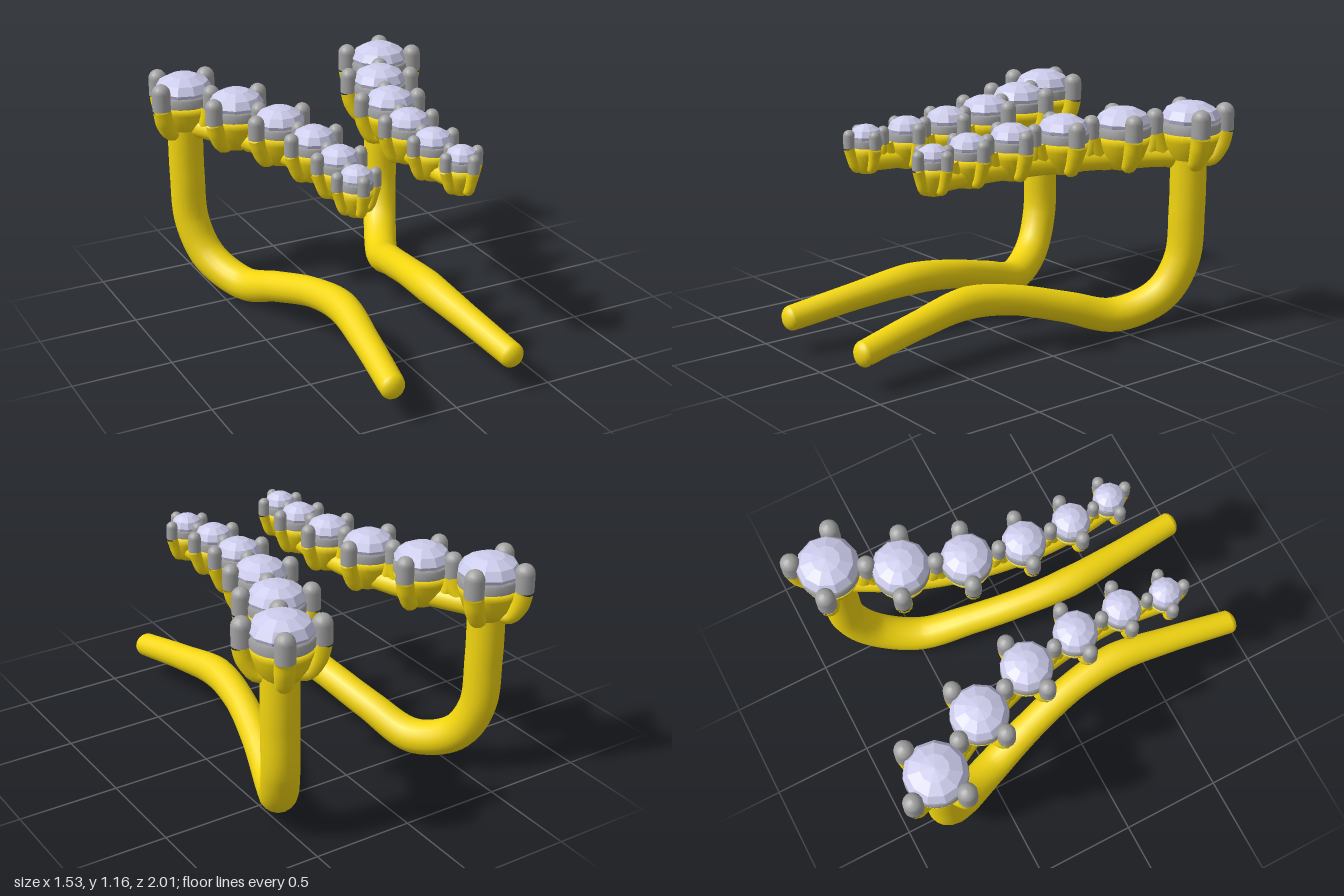
import * as THREE from 'three';

const gold = new THREE.MeshStandardMaterial({ color: 0xf2d50f });
const metal = new THREE.MeshStandardMaterial({ color: 0xa2a2a2 });
const stone = new THREE.MeshStandardMaterial({ color: 0xccccec, flatShading: true });

// Gems from the large rear one to the small front one: x, z, radius, prong radius
const GEMS = [
  [0.565, -0.81, 0.15, 0.047],
  [0.405, -0.51, 0.138, 0.043],
  [0.305, -0.215, 0.124, 0.04],
  [0.257, 0.065, 0.106, 0.035],
  [0.25, 0.315, 0.093, 0.032],
  [0.275, 0.535, 0.078, 0.028],
];
const BASE = 0.845;

// Wire path: x, y, z, radius
const WIRE = [
  [0.57, 0.9, -0.8, 0.09],
  [0.57, 0.62, -0.8, 0.09],
  [0.56, 0.36, -0.785, 0.09],
  [0.51, 0.18, -0.69, 0.09],
  [0.41, 0.092, -0.48, 0.087],
  [0.33, 0.165, -0.22, 0.078],
  [0.265, 0.24, 0.06, 0.075],
  [0.24, 0.27, 0.32, 0.08],
  [0.27, 0.235, 0.62, 0.068],
  [0.315, 0.18, 0.96, 0.062],
];

function add(group, name, geometry, material) {
  const mesh = new THREE.Mesh(geometry, material);
  mesh.name = name;
  group.add(mesh);
  return mesh;
}

// Tube whose radius follows a list spread evenly over its control points
function taperedTube(points, radii, steps, sides) {
  const curve = new THREE.CatmullRomCurve3(points, false, 'centripetal');
  // Make even parameter steps so that radii stay matched to the points
  curve.getUtoTmapping = (u) => u;
  const geometry = new THREE.TubeGeometry(curve, steps, 1, sides);
  const pos = geometry.attributes.position;
  const centre = new THREE.Vector3(), v = new THREE.Vector3();
  for (let i = 0; i <= steps; i++) {
    const f = (i / steps) * (radii.length - 1);
    const k = Math.min(Math.floor(f), radii.length - 2);
    const r = THREE.MathUtils.lerp(radii[k], radii[k + 1], f - k);
    curve.getPoint(i / steps, centre);
    for (let j = 0; j <= sides; j++) {
      const n = i * (sides + 1) + j;
      v.fromBufferAttribute(pos, n).sub(centre).multiplyScalar(r).add(centre);
      pos.setXYZ(n, v.x, v.y, v.z);
    }
  }
  return geometry;
}

function lathe(profile, sides) {
  return new THREE.LatheGeometry(profile.map(([r, y]) => new THREE.Vector2(r, y)), sides);
}

// Domed prong tip standing on y = 0
function prongTip(r, h) {
  const profile = [[r, 0], [r, h - r]];
  for (let i = 1; i <= 5; i++) {
    const a = (i / 5) * Math.PI / 2;
    profile.push([i === 5 ? 0 : r * Math.cos(a), h - r + r * Math.sin(a)]);
  }
  return lathe(profile, 14);
}

// One stone in its cup with four prongs
function createSetting(centres, i, side) {
  const group = new THREE.Group();
  group.name = 'gemSetting';
  const [, , R, p] = GEMS[i];
  const last = GEMS.length - 1;
  const t = i / last;
  const rim = 1.015 - 0.04 * t;
  const tipTop = 1.152 - 0.088 * t;
  const gemTop = 1.165 - 0.08 * t;
  const h = gemTop - rim;
  group.position.copy(centres[i]);

  // Cup, collar and faceted stone
  add(group, 'cup', lathe([
    [0, BASE], [R * 0.5, BASE], [R * 0.78, BASE + 0.06], [R * 0.93, rim - 0.04], [R * 0.98, rim], [0, rim],
  ], 24), gold);
  add(group, 'collar', lathe([
    [R * 0.98, rim], [R, rim + h * 0.28], [R * 0.9, rim + h * 0.36], [R * 0.6, rim + h * 0.36],
  ], 24), metal);
  const gem = add(group, 'gem', lathe([
    [R * 0.6, rim + h * 0.2], [R * 0.95, rim + h * 0.36], [R, rim + h * 0.48],
    [R * 0.84, rim + h * 0.75], [R * 0.45, gemTop - 0.008], [0, gemTop],
  ], 11), stone);
  gem.rotation.y = side * i;

  // Prongs toward the neighbours and out to both sides
  const forward = i < last ? centres[i + 1].clone().sub(centres[i]).normalize() : null;
  const back = i > 0 ? centres[i - 1].clone().sub(centres[i]).normalize() : forward.clone().negate();
  const front = forward || back.clone().negate();
  const along = front.clone().sub(back).normalize();
  const across = new THREE.Vector3(along.z, 0, -along.x);
  const D = R + p * 0.5;
  [front, back, across, across.clone().negate()].forEach((dir, k) => {
    const at = (r, y) => dir.clone().multiplyScalar(r).setY(y);
    add(group, 'prongArm', taperedTube(
      [at(D * 0.3, BASE + 0.02), at(D * 0.64, BASE + 0.03), at(D * 0.9, BASE + 0.1), at(D, rim)],
      [p * 0.6, p * 0.85, p, p], 12, 12), gold);
    // The front tip is shared with the next stone
    if (k === 0 && i < last) return;
    add(group, 'prongTip', prongTip(p, tipTop - rim), metal).position.copy(at(D, rim));
  });
  return group;
}

function createEarring(side) {
  const group = new THREE.Group();
  group.name = side > 0 ? 'leftEarring' : 'rightEarring';

  // Settings joined by a rail
  const centres = GEMS.map(([x, z]) => new THREE.Vector3(side * x, 0, z));
  GEMS.forEach((g, i) => group.add(createSetting(centres, i, side)));
  add(group, 'rail', taperedTube(
    centres.map((c) => c.clone().setY(0.893)),
    [0.055, 0.054, 0.052, 0.05, 0.047, 0.044], 40, 14), gold);

  // Post and hook with a rounded end
  const points = WIRE.map(([x, y, z]) => new THREE.Vector3(side * x, y, z));
  add(group, 'hook', taperedTube(points, WIRE.map((w) => w[3]), 72, 18), gold);
  const end = add(group, 'hookEnd', new THREE.SphereGeometry(0.062, 18, 12), gold);
  end.position.copy(points[points.length - 1]);
  end.scale.z = 0.65;
  return group;
}

export function createModel() {
  const model = new THREE.Group();
  model.name = 'earrings';
  for (const side of [1, -1]) model.add(createEarring(side));
  return model;
}
